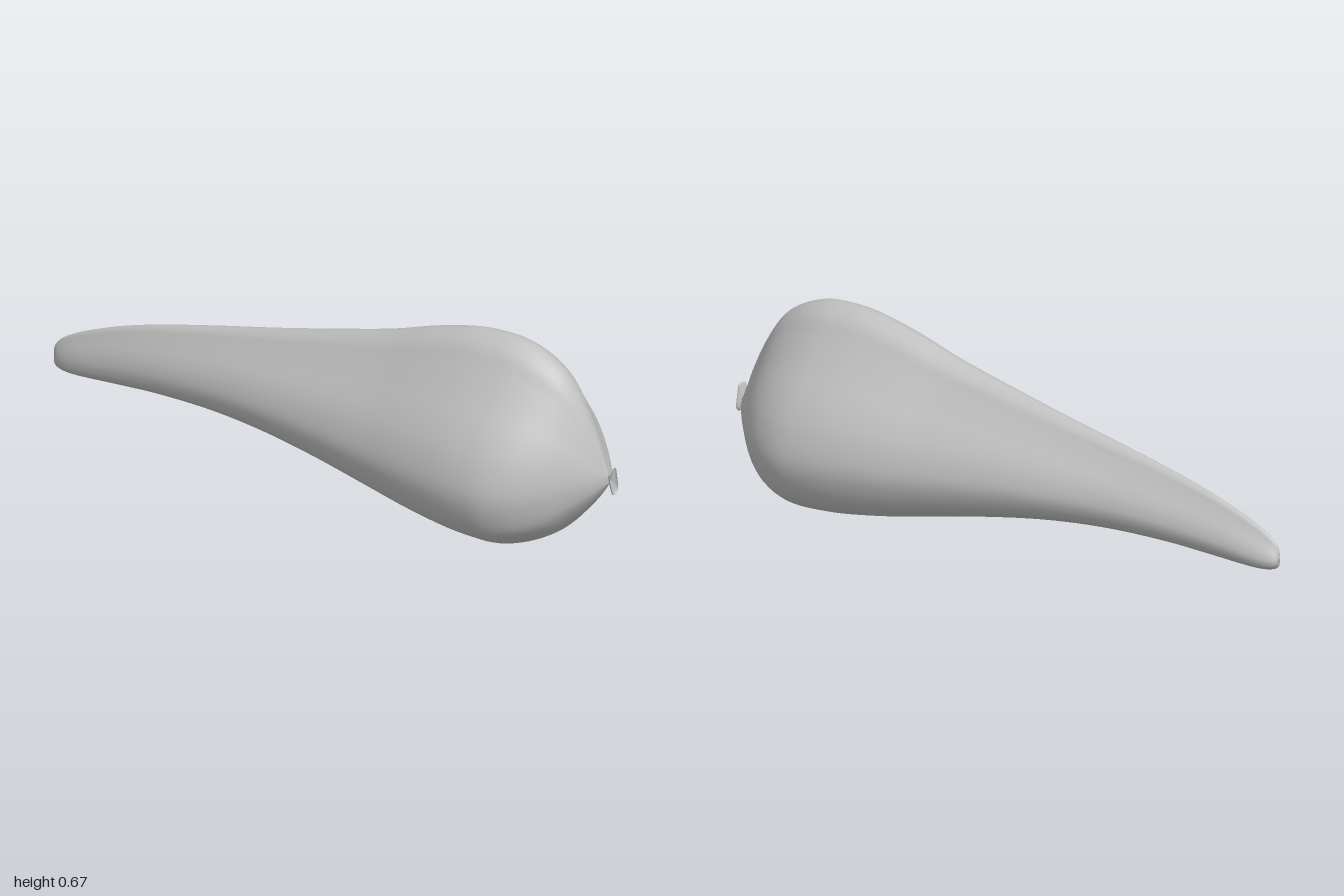
import * as THREE from 'three';

// Smooth indexed skin over rings of equal point count
function loft(rings) {
  const n = rings[0].length, pos = [], idx = [];
  rings.forEach(r => r.forEach(p => pos.push(p.x, p.y, p.z)));
  for (let i = 0; i < rings.length - 1; i++) {
    for (let j = 0; j < n; j++) {
      const k = (j + 1) % n, a = i * n + j, b = i * n + k;
      idx.push(a, b, a + n, b, b + n, a + n);
    }
  }
  const g = new THREE.BufferGeometry();
  g.setAttribute('position', new THREE.Float32BufferAttribute(pos, 3));
  g.setIndex(idx);
  g.computeVertexNormals();
  return g;
}

const spline = (pts, closed = false) => new THREE.CatmullRomCurve3(pts, closed, 'catmullrom', 0.5);

// Teardrop cross-section: [half width, height], from the crest to the keel
const HALF = [[0, 1], [0.2, 0.955], [0.34, 0.873], [0.53, 0.76], [0.77, 0.62], [0.93, 0.485],
  [1, 0.33], [0.89, 0.17], [0.68, 0.085], [0.35, 0.022], [0, 0]];

// Stations along the body: [x, bottom, top, half width]
const STATIONS = [
  [-1, 0.2, 0.21, 0.003], [-0.996, 0.183, 0.237, 0.013], [-0.98, 0.17, 0.262, 0.025],
  [-0.94, 0.163, 0.29, 0.038], [-0.87, 0.164, 0.322, 0.05], [-0.75, 0.17, 0.365, 0.064],
  [-0.6, 0.176, 0.405, 0.083], [-0.4, 0.172, 0.449, 0.11], [-0.2, 0.153, 0.49, 0.145],
  [0, 0.118, 0.535, 0.182], [0.2, 0.074, 0.583, 0.223], [0.36, 0.038, 0.632, 0.258],
  [0.5, 0.013, 0.664, 0.282], [0.6, 0.003, 0.67, 0.29], [0.68, 0.003, 0.662, 0.285],
  [0.76, 0.028, 0.631, 0.255], [0.83, 0.07, 0.578, 0.203], [0.89, 0.131, 0.487, 0.137],
  [0.94, 0.192, 0.381, 0.073], [0.975, 0.245, 0.288, 0.018], [0.984, 0.256, 0.272, 0.006]];

function bodyGeometry() {
  const right = HALF.map(([s, t]) => new THREE.Vector3(s, t, 0));
  const left = HALF.slice(1, -1).reverse().map(([s, t]) => new THREE.Vector3(-s, t, 0));
  const section = spline([...right, ...left], true).getPoints(80).slice(0, -1);
  const heights = spline(STATIONS.map(([x, b, t]) => new THREE.Vector3(x, b, t))).getPoints(120);
  const widths = spline(STATIONS.map(([x, , , w]) => new THREE.Vector3(x, w, 0))).getPoints(120);
  return loft(heights.map((h, i) => section.map(({ x: s, y: t }) => new THREE.Vector3(
    h.x, h.y + (h.z - h.y) * t, widths[i].y * s + 0.008 * (1 - s * s)))));
}

// Crooked flared lip: rim outline as [z, y], clockwise from the top
function lipGeometry() {
  const rim = [[0.012, 0.308], [0.036, 0.3], [0.04, 0.285], [0.03, 0.25], [0.018, 0.222],
    [0.004, 0.217], [-0.011, 0.226], [-0.012, 0.245], [-0.005, 0.28], [0, 0.303]];
  const outline = spline(rim.map(([z, y]) => new THREE.Vector3(0, y, z)), true).getPoints(40).slice(0, -1);
  const neck = new THREE.Vector3(0, 0.264, 0.008);
  // [x, flare] from the neck out to the folded rim
  return loft([[0.98, 0.12], [0.986, 0.2], [0.99, 0.5], [0.993, 0.85], [0.997, 1], [1, 0.97]].map(([x, f]) =>
    outline.map(p => {
      const q = neck.clone().lerp(p, f);
      q.x = x;
      return q;
    })));
}

export function createModel() {
  const group = new THREE.Group();
  const grey = new THREE.MeshStandardMaterial({ color: 0xc0c0c0, side: THREE.DoubleSide });
  grey.name = 'grey';

  const body = new THREE.Mesh(bodyGeometry(), grey);
  body.name = 'body';
  const lip = new THREE.Mesh(lipGeometry(), grey);
  lip.name = 'neckLip';
  group.add(body, lip);
  return group;
}
